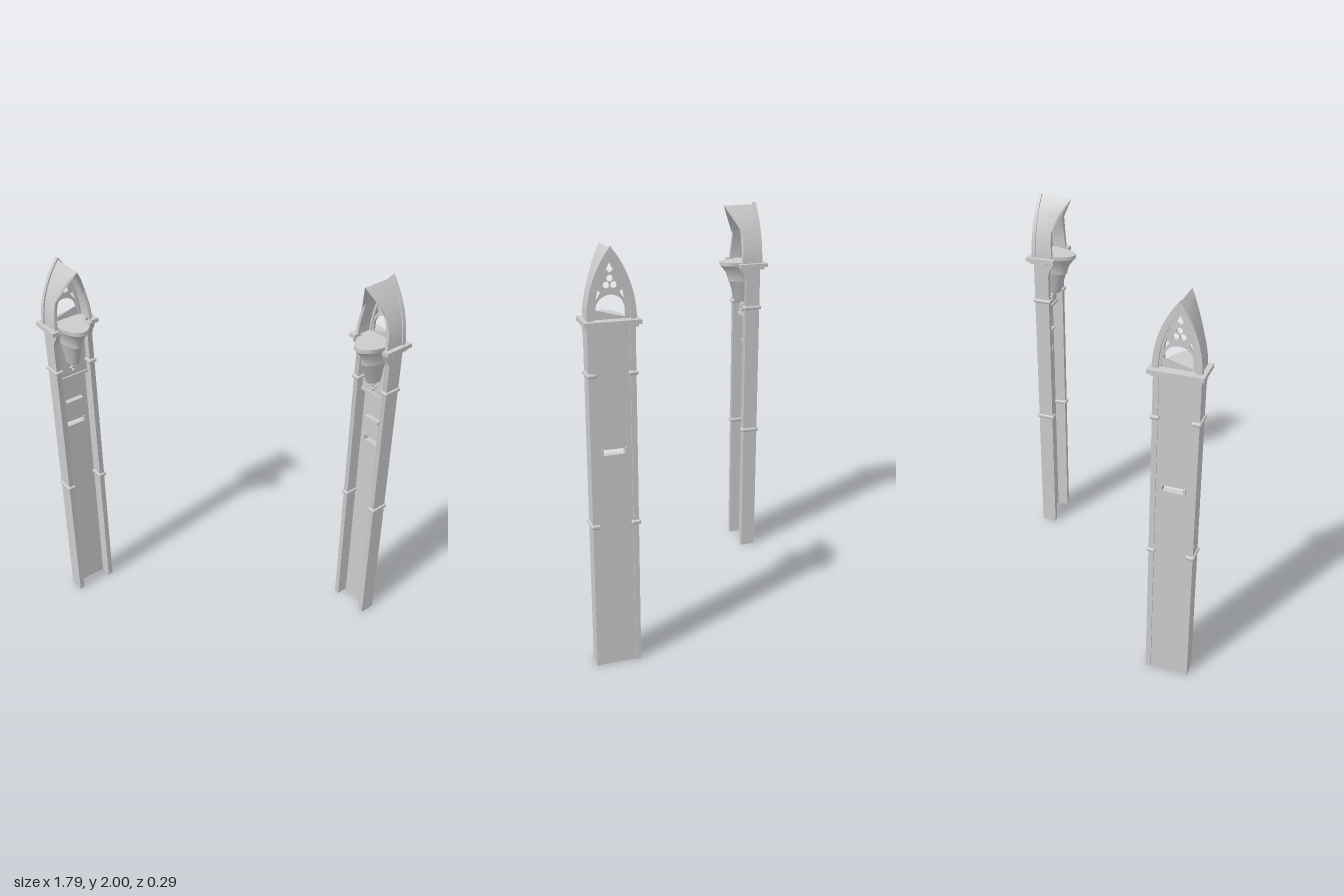
import * as THREE from 'three';
import { toCreasedNormals } from 'three/addons/utils/BufferGeometryUtils.js';
import { RoundedBoxGeometry } from 'three/addons/geometries/RoundedBoxGeometry.js';

const grey = new THREE.MeshStandardMaterial({ color: 0xcccccc, side: THREE.DoubleSide });
const HALF = 0.108;      // half width of the shaft
const FLOOR = 1.685;     // top of the cornice, where the arch springs
const RADIUS = 0.5;      // radius of each side of the pointed arch

function add(group, name, geometry, x = 0, y = 0, z = 0) {
  const mesh = new THREE.Mesh(geometry, grey);
  mesh.name = name;
  mesh.position.set(x, y, z);
  group.add(mesh);
  return mesh;
}

const box = (g, name, w, h, d, x, y, z) => add(g, name, new THREE.BoxGeometry(w, h, d), x, y, z);

// Points of a pointed arch set in by t, from right foot over the tip to left foot
function archPoints(t, steps = 14) {
  const r = RADIUS - t, c = HALF - RADIUS;
  const end = Math.acos(-c / r);
  const right = [];
  for (let i = 0; i <= steps; i++) {
    const a = (end * i) / steps;
    right.push(new THREE.Vector2(Math.max(0, c + r * Math.cos(a)), FLOOR + r * Math.sin(a)));
  }
  const left = right.slice(0, -1).reverse().map(p => new THREE.Vector2(-p.x, p.y));
  return right.concat(left);
}

const archBand = (outer, inner) => new THREE.Shape(archPoints(outer).concat(archPoints(inner).reverse()));

const extrude = (shape, depth) =>
  toCreasedNormals(new THREE.ExtrudeGeometry(shape, { depth, bevelEnabled: false, curveSegments: 10 }), 0.6);

// Front edge of the canopy: deep foot, narrow waist, tip flaring forward
const edge = [[1.68, 0.062], [1.75, 0.056], [1.82, 0.053], [1.88, 0.068], [1.94, 0.1], [2.0, 0.145]];
function edgeDepth(y) {
  for (let i = 1; i < edge.length; i++) {
    const [y0, n0] = edge[i - 1], [y1, n1] = edge[i];
    if (y <= y1) return THREE.MathUtils.lerp(n0, n1, (y - y0) / (y1 - y0));
  }
  return 0.145;
}

function makeShaft(g) {
  // Thin panel with a slot through it
  const panel = new THREE.Shape([[-0.085, 0], [0.085, 0], [0.085, 1.67], [-0.085, 1.67]].map(p => new THREE.Vector2(...p)));
  panel.holes.push(new THREE.Path([[-0.05, 1.068], [-0.05, 1.092], [0.05, 1.092], [0.05, 1.068]].map(p => new THREE.Vector2(...p))));
  add(g, 'shaftPanel', extrude(panel, 0.014), 0, 0, -0.034);

  // Side posts with a corbel flaring forward at the top
  const profile = new THREE.Shape([
    [-0.04, 0], [0.04, 0], [0.04, 1.59], [0.048, 1.615], [0.07, 1.65], [0.075, 1.67], [-0.04, 1.67],
  ].map(p => new THREE.Vector2(...p)));
  const width = 0.026;
  for (const s of [-1, 1]) {
    const x = s * (HALF - width / 2);
    add(g, 'sidePost', extrude(profile, width), x + width / 2, 0, 0).rotation.y = -Math.PI / 2;
    for (const y of [0.725, 1.44])
      add(g, 'postRing', new RoundedBoxGeometry(width + 0.018, 0.02, 0.1, 2, 0.008), x, y, 0);
    box(g, 'slotEnd', 0.009, 0.034, 0.034, s * 0.054, 1.08, -0.03);
  }

  // Slot sill, small bracket, stepped upper panel with its lip
  box(g, 'slotSill', 0.11, 0.006, 0.03, 0, 1.066, -0.03);
  box(g, 'bracketShelf', 0.09, 0.01, 0.03, 0, 1.222, -0.008);
  box(g, 'bracketBase', 0.07, 0.016, 0.018, 0, 1.21, -0.014);
  box(g, 'upperPanel', 0.164, 0.295, 0.025, 0, 1.5225, -0.0085);
  box(g, 'upperPanelLip', 0.164, 0.014, 0.032, 0, 1.372, -0.004);
}

function makeCornice(g) {
  box(g, 'corniceSlab', 0.254, 0.02, 0.118, 0, 1.675, -0.019);
  box(g, 'corniceMoulding', 0.234, 0.014, 0.1, 0, 1.658, -0.012);
  for (const s of [-1, 1]) box(g, 'corniceEnd', 0.036, 0.02, 0.044, s * 0.109, 1.675, 0.056);

  // Half-round corbel, stretched forward, with its flat floor
  const profile = [
    [0, 1.458], [0.028, 1.46], [0.032, 1.47], [0.046, 1.565], [0.051, 1.575], [0.051, 1.585],
    [0.057, 1.62], [0.07, 1.655], [0.076, 1.665], [0.076, FLOOR], [0, FLOOR],
  ].map(p => new THREE.Vector2(...p));
  const cup = new THREE.LatheGeometry(profile, 16, -Math.PI / 2, Math.PI);
  cup.scale(1, 1, 1.97);
  add(g, 'corbelCup', toCreasedNormals(cup, 0.6), 0, 0, 0.004);

  // Pendant below the corbel
  const bead = (name, r, x, y) => add(g, name, new THREE.SphereGeometry(r, 10, 8), x, y, 0.014);
  bead('pendantBud', 0.012, 0, 1.438).scale.set(0.9, 1.5, 1);
  for (const s of [-1, 1]) bead('pendantLeaf', 0.008, s * 0.012, 1.428);
  bead('pendantTip', 0.008, 0, 1.41).scale.y = 1.5;
}

function makeCanopy(g) {
  // Arched shell whose front edge follows the flaring curve
  const shell = new THREE.ExtrudeGeometry(archBand(0.004, 0.02), { depth: 1, bevelEnabled: false });
  const p = shell.attributes.position;
  for (let i = 0; i < p.count; i++) p.setZ(i, p.getZ(i) > 0.5 ? edgeDepth(p.getY(i)) : -0.035);
  add(g, 'canopyShell', toCreasedNormals(shell, 0.6));

  // Stepped frame at the back
  add(g, 'archFrame', extrude(archBand(-0.003, 0.024), 0.02), 0, 0, -0.05);
  add(g, 'innerArchFrame', extrude(archBand(0.022, 0.034), 0.024), 0, 0, -0.036);

  // Tracery: round opening below, three lobes and side lights above
  const plate = new THREE.Shape(archPoints(0.03));
  const door = new THREE.Path();
  door.moveTo(-0.066, FLOOR + 0.001);
  door.lineTo(-0.066, 1.725);
  door.absarc(0, 1.725, 0.066, Math.PI, 0, true);
  door.lineTo(0.066, FLOOR + 0.001);
  plate.holes.push(door);
  for (let i = 0; i < 3; i++) {
    const a = Math.PI / 2 + (i * Math.PI * 2) / 3;
    plate.holes.push(new THREE.Path().absarc(0.019 * Math.cos(a), 1.843 + 0.019 * Math.sin(a), 0.0145, 0, Math.PI * 2, false));
  }
  plate.holes.push(new THREE.Path([[0, 1.932], [-0.016, 1.9], [0, 1.886], [0.016, 1.9]].map(q => new THREE.Vector2(...q))));
  for (const s of [-1, 1])
    plate.holes.push(new THREE.Path([[s * 0.07, 1.765], [s * 0.058, 1.815], [s * 0.042, 1.803], [s * 0.055, 1.78]].map(q => new THREE.Vector2(...q))));
  add(g, 'tracery', extrude(plate, 0.012), 0, 0, -0.03);
}

export function createModel() {
  const model = new THREE.Group();
  model.name = 'pillarPair';
  // Two pillars turned to face inward
  for (const s of [-1, 1]) {
    const pillar = new THREE.Group();
    pillar.name = s > 0 ? 'leftPillar' : 'rightPillar';
    makeShaft(pillar);
    makeCornice(pillar);
    makeCanopy(pillar);
    pillar.position.set(s * 0.748, 0, 0.002);
    pillar.rotation.y = (-s * Math.PI) / 4;
    model.add(pillar);
  }
  return model;
}
